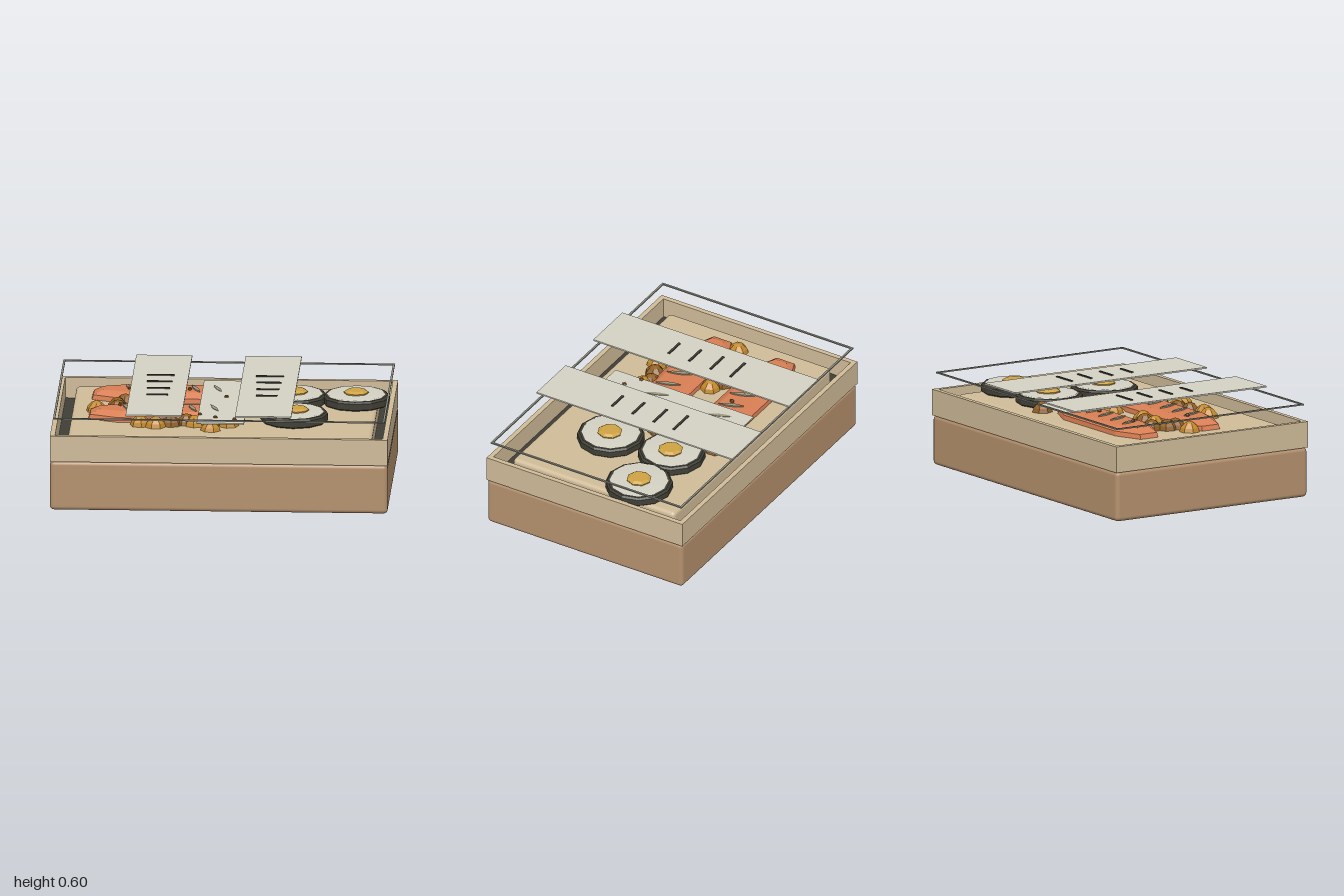
import * as THREE from 'three';
import { RoundedBoxGeometry } from 'three/addons/geometries/RoundedBoxGeometry.js';
import { ConvexGeometry } from 'three/addons/geometries/ConvexGeometry.js';

const paint = (name, color, flat = false) => {
  const m = new THREE.MeshStandardMaterial({ color, flatShading: flat });
  m.name = name;
  return m;
};

export function createModel() {
  const model = new THREE.Group();
  model.name = 'lunchBox';

  const wood = paint('brown wood', 0xb4906d);
  const tan = paint('tan wood', 0xcfbb98);
  const dark = paint('charcoal', 0x403f36, true);
  const pale = paint('pale grey', 0xd3d1c3);
  const salmon = paint('salmon', 0xd87e53, true);
  const yolkGold = paint('yolk gold', 0xcfa344, true);
  const crispGold = paint('crisp gold', 0xc48a2c, true);
  const crispBrown = paint('crisp brown', 0x8f5f25, true);
  const grill = paint('grill mark', 0xa0977f);
  const steel = paint('frame grey', 0x8c8c80);

  const add = (name, geometry, material, x = 0, y = 0, z = 0, parent = model) => {
    const mesh = new THREE.Mesh(geometry, material);
    mesh.name = name;
    mesh.position.set(x, y, z);
    parent.add(mesh);
    return mesh;
  };
  const box = (w, h, d) => new THREE.BoxGeometry(w, h, d);

  // Rectangular frame lying flat, from y = 0 to h
  const frame = (hx, hz, t, h) => {
    const rect = (C, a, b) => {
      const s = new C();
      s.moveTo(-a, -b); s.lineTo(a, -b); s.lineTo(a, b); s.lineTo(-a, b); s.closePath();
      return s;
    };
    const shape = rect(THREE.Shape, hx, hz);
    shape.holes.push(rect(THREE.Path, hx - t, hz - t));
    return new THREE.ExtrudeGeometry(shape, { depth: h, bevelEnabled: false }).rotateX(-Math.PI / 2);
  };

  // Box: rounded base, upper rim, dark floor and raised inner tray
  add('base', new RoundedBoxGeometry(2, 0.3, 1.35, 3, 0.025), wood, 0, 0.15, 0);
  add('rim', frame(1, 0.677, 0.03, 0.157), tan, 0, 0.298, 0);
  add('floor', box(1.94, 0.03, 1.29), dark, 0, 0.315, 0);
  add('tray', new RoundedBoxGeometry(1.8, 0.13, 1.12, 3, 0.025), tan, 0, 0.365, 0);

  // Rolls: dark wrap, pale filling, gold centre
  const wrapShape = [[0, 0], [0.19, 0], [0.2, 0.008], [0.2, 0.045], [0.188, 0.056], [0, 0.056]];
  const fillShape = [[0.176, 0.05], [0.172, 0.061], [0, 0.063]];
  const yolkShape = [[0.072, 0.06], [0.075, 0.07], [0.055, 0.082], [0, 0.082]];
  const lathe = (pts, n) => new THREE.LatheGeometry(pts.map(p => new THREE.Vector2(...p)), n);
  [[0.772, -0.24], [0.4, -0.24], [0.425, 0.165]].forEach(([x, z]) => {
    const roll = new THREE.Group();
    roll.name = 'roll';
    roll.position.set(x, 0.43, z);
    add('rollWrap', lathe(wrapShape, 12), dark, 0, 0, 0, roll);
    add('rollFilling', lathe(fillShape, 12), pale, 0, 0, 0, roll);
    add('rollCentre', lathe(yolkShape, 8), yolkGold, x < 0.6 ? 0.012 : 0, 0, 0, roll);
    model.add(roll);
  });

  // Fish fillets: faceted slabs with leaf-shaped grill marks
  const leaf = new THREE.Shape();
  leaf.moveTo(0, -0.075);
  leaf.quadraticCurveTo(0.026, 0, 0, 0.075);
  leaf.quadraticCurveTo(-0.026, 0, 0, -0.075);
  const leafGeo = new THREE.ExtrudeGeometry(leaf, { depth: 0.008, bevelEnabled: false, curveSegments: 5 })
    .rotateX(-Math.PI / 2).rotateY(0.35);
  const ring = (hx, hz, tip, y) => [[hx, tip], [hx * 0.62, hz], [-hx * 0.62, hz], [-hx, tip]]
    .flatMap(([x, z]) => [new THREE.Vector3(x, y, z), new THREE.Vector3(x, y, -z)]);
  const filletGeo = new ConvexGeometry([
    ...ring(0.45, 0.133, 0.062, 0), ...ring(0.44, 0.13, 0.06, 0.028), ...ring(0.385, 0.085, 0.04, 0.056),
  ]);
  [-0.31, 0.125].forEach(z => {
    add('fishFillet', filletGeo, salmon, -0.345, 0.43, z);
    [-0.57, -0.44, -0.31, -0.18, -0.05].forEach(x => add('grillMark', leafGeo, grill, x, 0.4865, z + 0.01));
  });

  // Crisp golden morsels
  const morsel = new THREE.LatheGeometry(
    [[0.062, 0], [0.055, 0.025], [0.03, 0.052], [0, 0.064]].map(p => new THREE.Vector2(...p)), 7);
  [
    [-0.755, 0, 0], [-0.635, -0.08, 1], [-0.59, -0.16, 1], [-0.63, -0.02, 1], [-0.5, -0.08, 0],
    [-0.42, -0.1, 1], [-0.34, -0.06, 0], [-0.48, 0.31, 0], [-0.39, 0.34, 0], [-0.3, 0.3, 1],
    [-0.21, 0.27, 1], [-0.16, 0.3, 0], [-0.06, 0.4, 0], [0.04, 0.3, 0], [0.2, -0.42, 1],
    [0.2, -0.02, 1], [-0.05, -0.08, 0], [0.1, 0.05, 0],
  ].forEach(([x, z, brown], i) => {
    const m = add('crispMorsel', morsel, brown ? crispBrown : crispGold, x, 0.43, z);
    m.rotation.y = i * 1.3;
    if (x > -0.14 && x < 0.14) m.scale.y = 0.85;
  });

  // Pale sheet laid across the food, with scattered seeds
  add('sheet', box(0.28, 0.008, 0.955), pale, 0, 0.488, -0.003);
  const seed = new THREE.IcosahedronGeometry(0.014, 0);
  [[0.01, -0.115], [-0.13, 0.29], [-0.035, 0.35], [0.08, 0.395], [0.1, 0.135],
    [-0.57, -0.28], [-0.61, 0.08], [-0.215, -0.285]]
    .forEach(([x, z]) => add('seed', seed, crispBrown, x, 0.493, z));

  // Thin lid outline floating above the rim
  add('lidFrame', frame(0.982, 0.66, 0.012, 0.008), steel, 0, 0.552, 0);

  // Two paper bands with four dark bars each
  [-0.385, 0.263].forEach(x => {
    add('band', box(0.332, 0.009, 1.354), pale, x, 0.5865, 0);
    [-0.22, -0.078, 0.073, 0.218].forEach((z, i) =>
      add('bandBar', box([0.165, 0.15, 0.135, 0.125][i], 0.007, 0.014), dark, x, 0.594, z));
  });

  return model;
}
